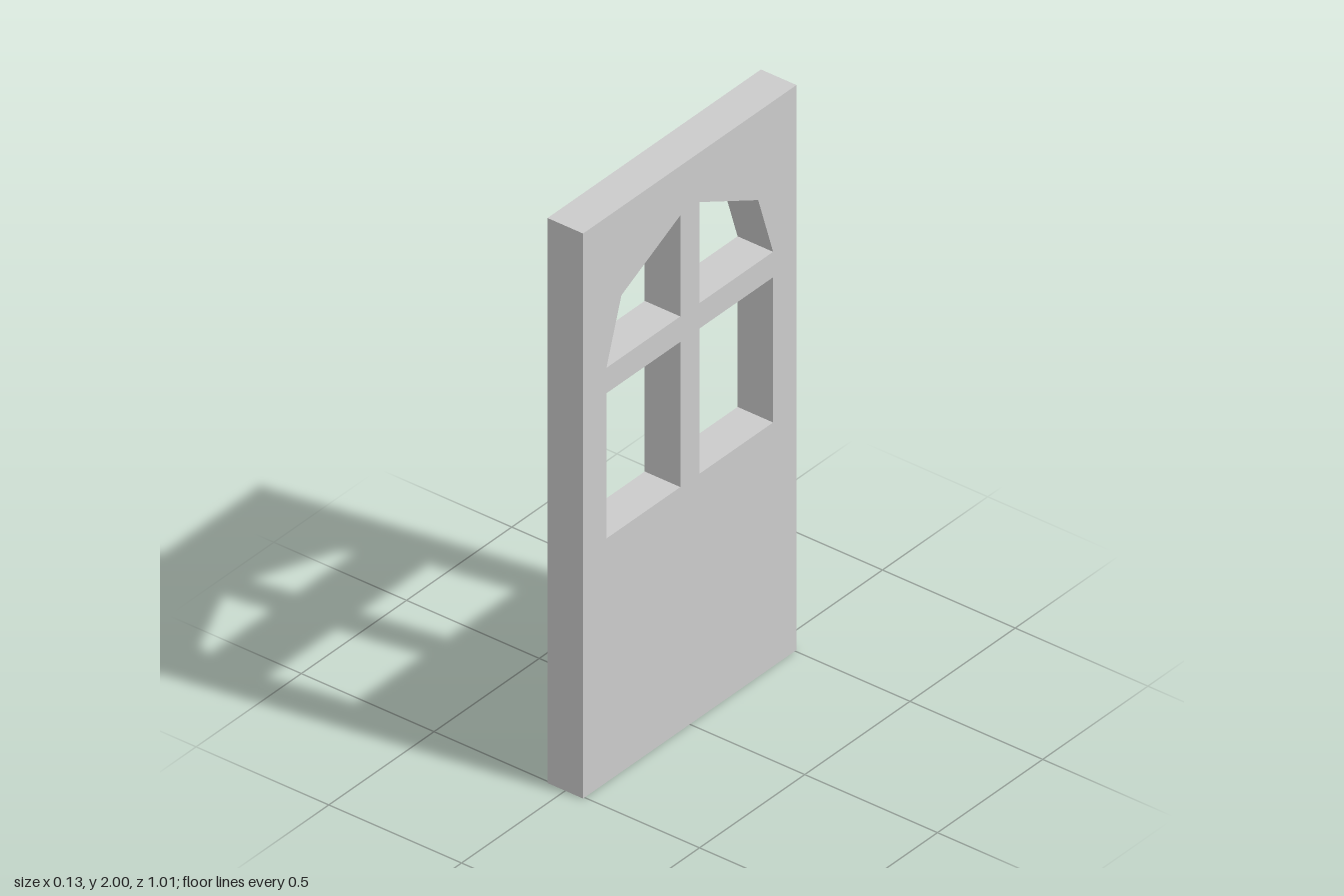
import * as THREE from 'three';

const HALF_WIDTH = 0.507, HEIGHT = 2, THICKNESS = 0.134;

// Window outlines on one side of the centre mullion
const lowerPane = [[0.045, 0.863], [0.396, 0.863], [0.396, 1.377], [0.045, 1.377]];
const archedPane = [[0.045, 1.467], [0.396, 1.467], [0.325, 1.687], [0.045, 1.825]];

const toPoints = (outline, side) => outline.map(([x, y]) => new THREE.Vector2(x * side, y));

export function createModel() {
  const model = new THREE.Group();
  model.name = 'door';

  // Door slab with four window openings
  const slab = new THREE.Shape(toPoints([
    [-HALF_WIDTH, 0], [HALF_WIDTH, 0], [HALF_WIDTH, HEIGHT], [-HALF_WIDTH, HEIGHT],
  ], 1));
  for (const side of [1, -1]) {
    for (const pane of [lowerPane, archedPane]) {
      slab.holes.push(new THREE.Path(toPoints(pane, side)));
    }
  }

  const geometry = new THREE.ExtrudeGeometry(slab, { depth: THICKNESS, bevelEnabled: false });
  geometry.translate(0, 0, -THICKNESS / 2);
  geometry.rotateY(Math.PI / 2); // broad faces point along x

  const panel = new THREE.Mesh(
    geometry,
    new THREE.MeshStandardMaterial({ color: 0xcccccc, flatShading: true }),
  );
  panel.name = 'doorPanel';
  model.add(panel);
  return model;
}
